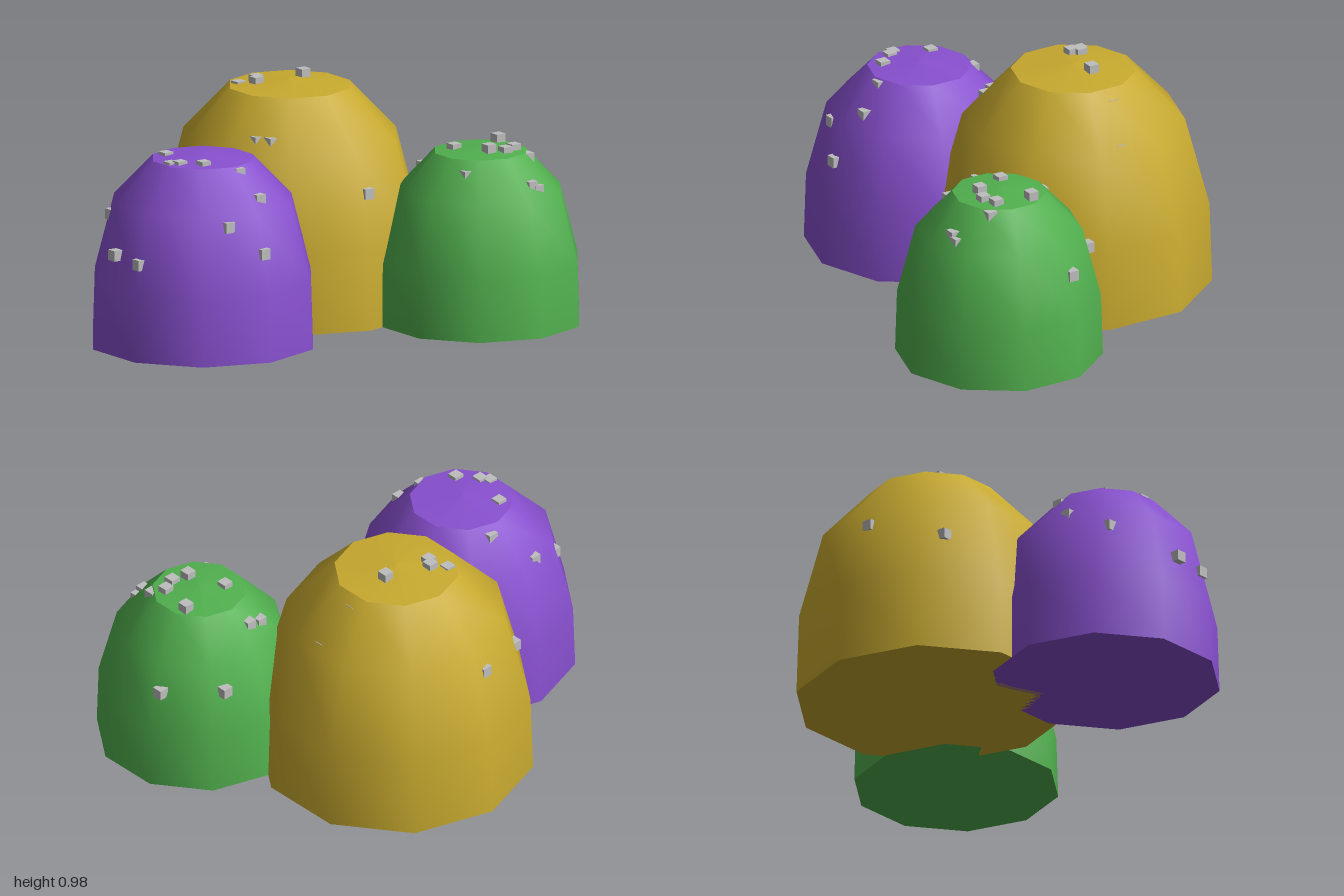
import * as THREE from 'three';

const mat = (name, color) => {
  const m = new THREE.MeshStandardMaterial({ color });
  m.name = name;
  return m;
};

// Ten-sided turned surface with a corner on +x
const turn = (name, points, material) => {
  const geo = new THREE.LatheGeometry(points.map(([r, y]) => new THREE.Vector2(r, y)), 10, Math.PI / 2);
  const mesh = new THREE.Mesh(geo, material);
  mesh.name = name;
  return mesh;
};

// Each drop: centre, wall profile [radius, height], peak height, sugar grain centres
const drops = [
  {
    name: 'yellowGumdrop', x: -0.265, z: -0.12, peak: 0.95,
    material: ['mustard yellow', 0xc8aa2f],
    wall: [[0.567, 0], [0.556, 0.34], [0.456, 0.715], [0.257, 0.925]],
    grains: [
      [-0.295, 0.953, -0.21], [-0.36, 0.94, -0.02], [-0.33, 0.94, 0], [-0.4, 0.915, 0.04],
      [-0.585, 0.535, 0.235], [-0.715, 0.62, -0.055], [0.222, 0.555, -0.155],
      [-0.07, 0.765, 0.188], [-0.015, 0.765, 0.153], [-0.235, 0.72, -0.51], [-0.28, 0.864, -0.38],
    ],
  },
  {
    name: 'purpleGumdrop', x: 0.053, z: 0.55, peak: 0.79,
    material: ['violet', 0x8850cf],
    wall: [[0.472, 0], [0.463, 0.28], [0.38, 0.597], [0.214, 0.77]],
    grains: [
      [-0.065, 0.765, 0.65], [0.07, 0.76, 0.725], [0.1, 0.765, 0.7], [0.175, 0.77, 0.635],
      [0.025, 0.415, 0.97], [0.173, 0.4, 0.955], [-0.216, 0.52, 0.81], [-0.275, 0.6, 0.64],
      [-0.17, 0.725, 0.5], [0.262, 0.742, 0.525], [0.355, 0.645, 0.49], [0.465, 0.445, 0.545],
      [0.392, 0.56, 0.672],
    ],
  },
  {
    name: 'greenGumdrop', x: 0.402, z: -0.596, peak: 0.73,
    material: ['leaf green', 0x51b04e],
    wall: [[0.425, 0], [0.417, 0.26], [0.342, 0.55], [0.193, 0.71]],
    grains: [
      [0.335, 0.727, -0.735], [0.485, 0.717, -0.705], [0.51, 0.718, -0.645], [0.485, 0.732, -0.58],
      [0.34, 0.717, -0.51], [0.27, 0.435, -0.94], [0.08, 0.45, -0.76], [0.165, 0.635, -0.545],
      [0.17, 0.615, -0.48], [0.535, 0.685, -0.735], [0.535, 0.65, -0.43], [0.663, 0.6, -0.66],
      [0.665, 0.58, -0.69],
    ],
  },
];

export function createModel() {
  const model = new THREE.Group();
  model.name = 'gumdrops';
  const sugar = mat('sugar grey', 0xbebebe);
  const grainGeo = new THREE.BoxGeometry(0.044, 0.044, 0.044);

  for (const d of drops) {
    const group = new THREE.Group();
    group.name = d.name;
    const material = mat(...d.material);

    // Body: rounded wall, shallow crown and flat base meet at sharp edges
    const body = new THREE.Group();
    body.name = 'body';
    body.position.set(d.x, 0, d.z);
    body.add(
      turn('wall', d.wall, material),
      turn('crown', [d.wall.at(-1), [0, d.peak]], material),
      turn('base', [[0, 0], d.wall[0]], material),
    );
    group.add(body);

    // Sugar grains half sunk in the surface
    for (const p of d.grains) {
      const grain = new THREE.Mesh(grainGeo, sugar);
      grain.name = 'sugarGrain';
      grain.position.set(...p);
      group.add(grain);
    }
    model.add(group);
  }
  return model;
}
